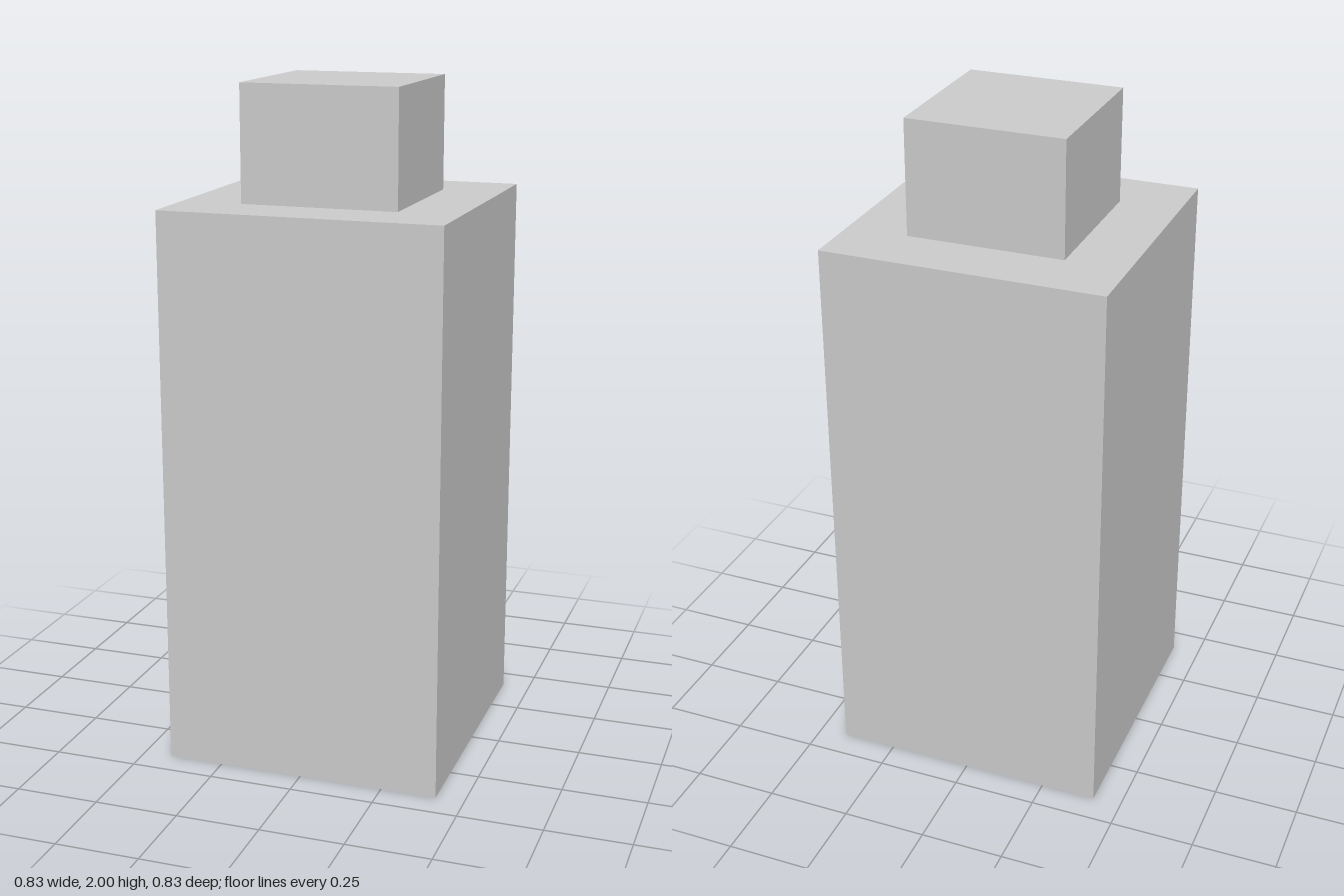
import * as THREE from 'three';

export function createModel() {
  const group = new THREE.Group();
  const material = new THREE.MeshStandardMaterial({ color: 0xcccccc, flatShading: true });

  // Square block standing on the given height
  const addBlock = (name, width, height, bottom) => {
    const mesh = new THREE.Mesh(new THREE.BoxGeometry(width, height, width), material);
    mesh.name = name;
    mesh.position.y = bottom + height / 2;
    group.add(mesh);
  };

  const bodyHeight = 1.66;
  addBlock('body', 0.83, bodyHeight, 0);
  addBlock('cap', 0.465, 2 - bodyHeight, bodyHeight);

  return group;
}
